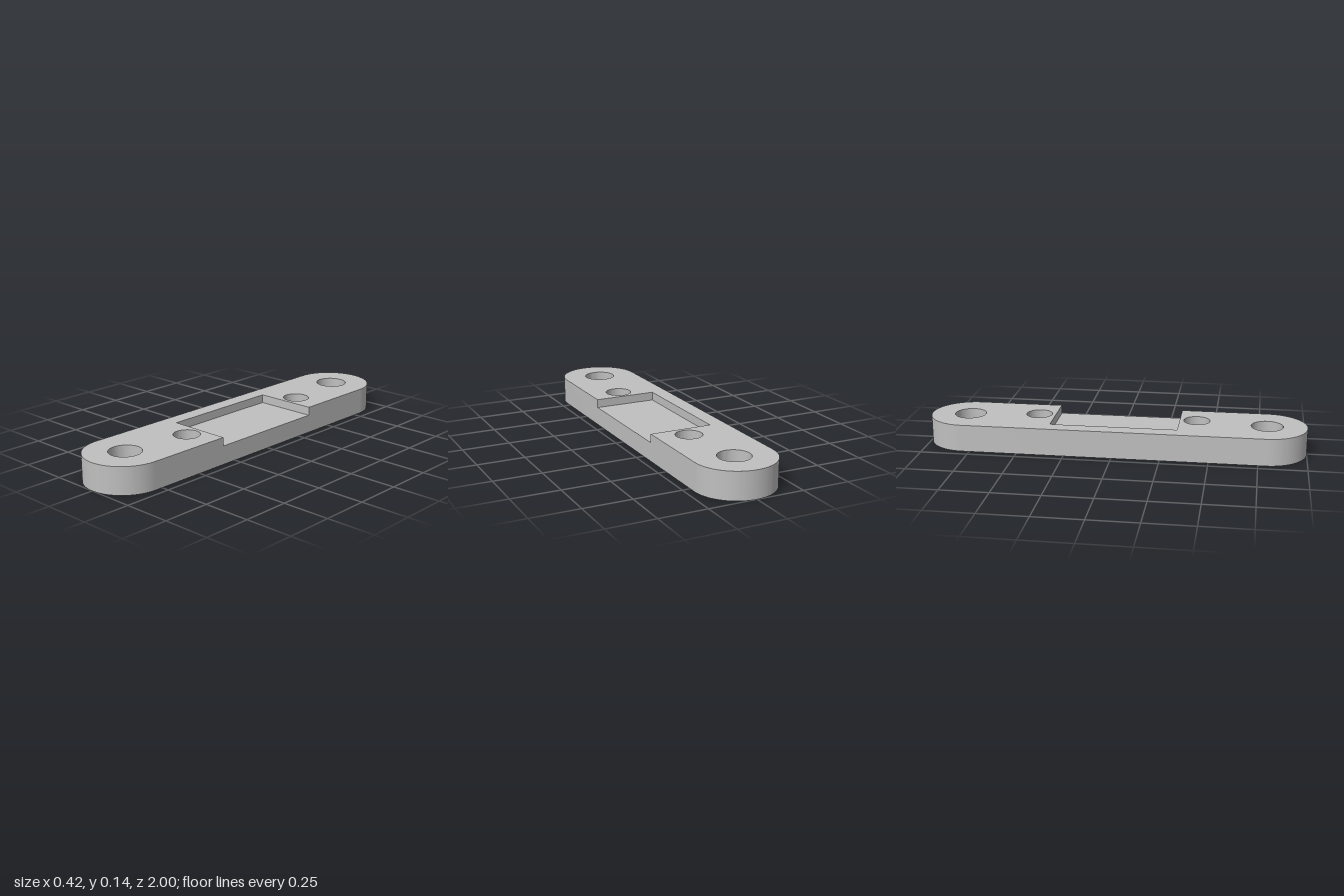
import * as THREE from 'three';
import { mergeGeometries, toCreasedNormals } from 'three/addons/utils/BufferGeometryUtils.js';

const R = 0.209, END = 0.791;                 // rounded ends
const H = 0.143, POCKET_Y = 0.098, BLIND_Y = 0.043;
const POCKET_X = -0.125, POCKET_Z = 0.333;
const SEG = 32;
const through = [[0, END, 0.083], [0, -END, 0.083]];
const blind = [[0.043, 0.423, 0.069], [0.043, -0.423, 0.069]];

const circle = (Type, [x, y, r]) => new Type().absarc(x, y, r, 0, Math.PI * 2, false);

// Stadium outline, optionally notched on the +x side
function plate(holes, notched = false) {
  const s = new THREE.Shape();
  s.moveTo(R, -END);
  if (notched) {
    s.lineTo(R, -POCKET_Z);
    s.lineTo(POCKET_X, -POCKET_Z);
    s.lineTo(POCKET_X, POCKET_Z);
    s.lineTo(R, POCKET_Z);
  }
  s.lineTo(R, END);
  s.absarc(0, END, R, 0, Math.PI, false);
  s.lineTo(-R, -END);
  s.absarc(0, -END, R, Math.PI, Math.PI * 2, false);
  s.holes = holes.map((h) => circle(THREE.Path, h));
  return s;
}

// Side walls only of an extruded shape between two heights
function walls(shape, y0, y1) {
  const g = new THREE.ExtrudeGeometry(shape, { depth: y1 - y0, bevelEnabled: false, curveSegments: SEG });
  const side = g.groups.find((k) => k.materialIndex === 1);
  const out = new THREE.BufferGeometry();
  for (const name of ['position', 'normal', 'uv']) {
    const a = g.attributes[name], n = a.itemSize;
    const part = a.array.slice(side.start * n, (side.start + side.count) * n);
    out.setAttribute(name, new THREE.BufferAttribute(part, n));
  }
  return out.rotateX(-Math.PI / 2).translate(0, y0, 0);
}

// Flat face looking up or down
function face(shape, y, up = true) {
  return new THREE.ShapeGeometry(shape, SEG).toNonIndexed()
    .rotateX(up ? -Math.PI / 2 : Math.PI / 2).translate(0, y, 0);
}

export function createModel() {
  const group = new THREE.Group();
  group.name = 'mountingPlate';
  const metal = new THREE.MeshStandardMaterial({ color: 0xc0c0c0 });
  metal.name = 'plain grey';
  const add = (name, geometry) => {
    const mesh = new THREE.Mesh(geometry, metal);
    mesh.name = name;
    group.add(mesh);
  };

  // Body: three stacked wall bands, closed by the top and bottom faces
  const all = [...through, ...blind];
  const top = plate(all, true);
  add('plateBody', toCreasedNormals(mergeGeometries([
    walls(plate(through), 0, BLIND_Y),
    walls(plate(all), BLIND_Y, POCKET_Y),
    walls(top, POCKET_Y, H),
    face(plate(through), 0, false),
    face(top, H),
  ]), 0.5));

  // Open-sided rectangular pocket
  const pocket = new THREE.Shape([
    new THREE.Vector2(POCKET_X, -POCKET_Z), new THREE.Vector2(R, -POCKET_Z),
    new THREE.Vector2(R, POCKET_Z), new THREE.Vector2(POCKET_X, POCKET_Z),
  ]);
  add('pocketFloor', face(pocket, POCKET_Y));

  // Floors of the two blind holes
  blind.forEach((h, i) => add(i ? 'frontBlindHoleFloor' : 'backBlindHoleFloor', face(circle(THREE.Shape, h), BLIND_Y)));
  return group;
}
